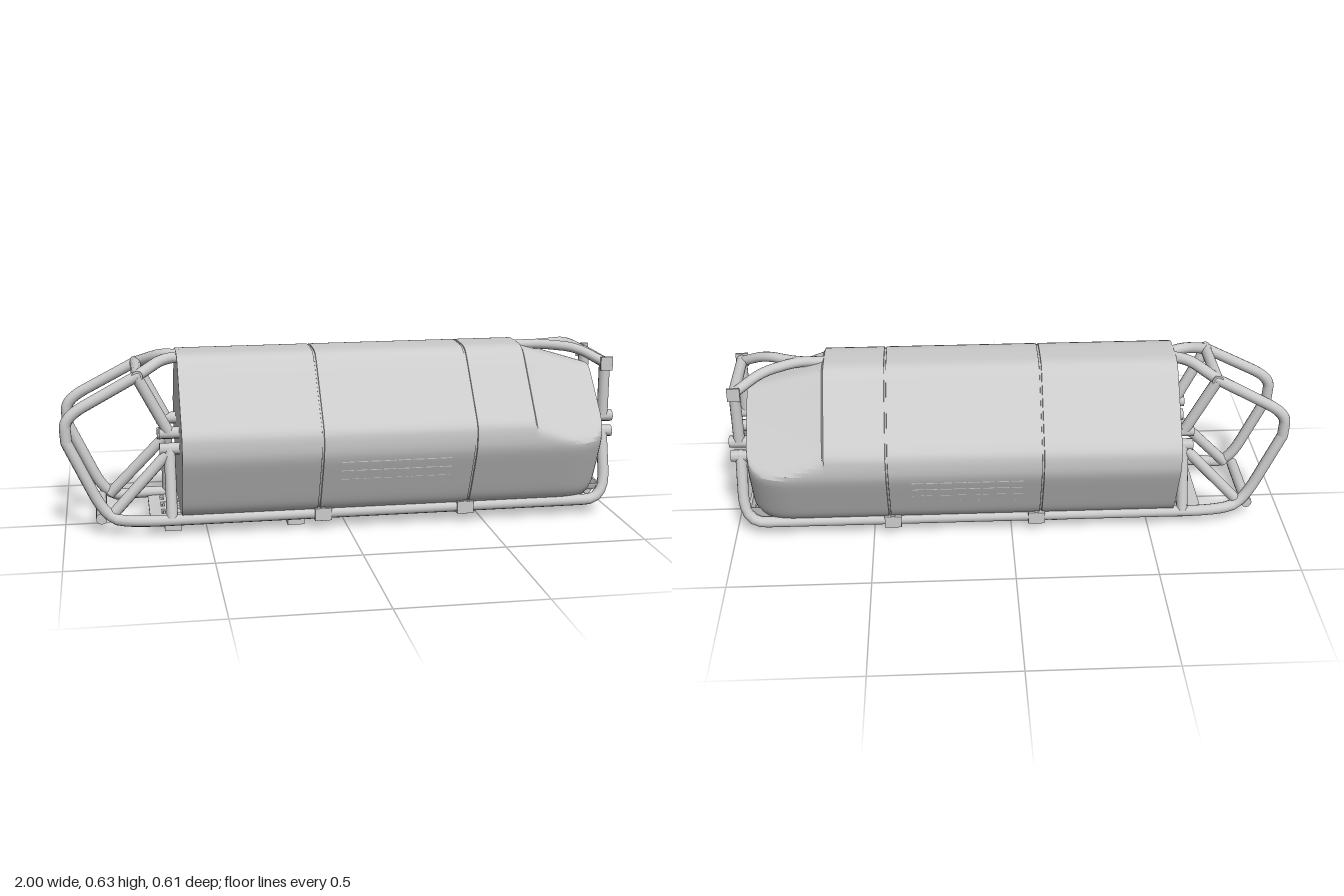
import * as THREE from 'three';
import { toCreasedNormals } from 'three/addons/utils/BufferGeometryUtils.js';

const mat = new THREE.MeshStandardMaterial({ color: 0xcccccc });
const V = (p) => new THREE.Vector3(...p);
const R = 0.02;

export function createModel() {
  const model = new THREE.Group();

  const add = (name, geo, pos) => {
    const m = new THREE.Mesh(geo, mat);
    m.name = name;
    if (pos) m.position.set(...pos);
    model.add(m);
    return m;
  };
  const box = (name, size, pos) => add(name, new THREE.BoxGeometry(...size), pos);
  // Straight round bar between two points
  const bar = (name, a, b, r = R, sides = 12) => {
    const d = V(b).sub(V(a));
    const m = add(name, new THREE.CylinderGeometry(r, r, d.length(), sides));
    m.position.copy(V(a)).addScaledVector(d, 0.5);
    m.quaternion.setFromUnitVectors(new THREE.Vector3(0, 1, 0), d.normalize());
    return m;
  };
  // Bent pipe through points, corners rounded by short curves
  const pipe = (name, pts, round = 0.06, r = R) => {
    const p = pts.map(V), path = new THREE.CurvePath();
    let last = p[0];
    for (let i = 1; i < p.length - 1; i++) {
      const cut = (q) => {
        const d = q.clone().sub(p[i]);
        return p[i].clone().addScaledVector(d.normalize(), Math.min(round, q.distanceTo(p[i]) * 0.45));
      };
      const a = cut(p[i - 1]), b = cut(p[i + 1]);
      path.add(new THREE.LineCurve3(last, a));
      path.add(new THREE.QuadraticBezierCurve3(a, p[i], b));
      last = b;
    }
    path.add(new THREE.LineCurve3(last, p[p.length - 1]));
    add(name, new THREE.TubeGeometry(path, p.length * 14, r, 12));
    for (const e of [p[0], p[p.length - 1]])
      add(name + 'End', new THREE.SphereGeometry(r, 12, 8), e.toArray());
  };

  add('hull', hullGeometry());
  add('skidPlate', plateGeometry());

  // Louvre slats follow the lower flanks
  const slats = [[0.27, 0.291], [0.235, 0.275], [0.2, 0.258], [0.165, 0.241]];
  for (const s of [1, -1])
    for (const [y, z] of slats)
      for (let k = 0; k < 8; k++)
        box('louvre', [0.042, 0.004, 0.008], [-0.015 + k * 0.05, y, s * (z - 0.002)]);

  // Everything on the frame that is mirrored left to right
  for (const s of [1, -1]) {
    pipe('sideRail', [
      [-0.98, 0.34, s * 0.14], [-0.85, 0.058, s * 0.145], [-0.74, 0.055, s * 0.182],
      [0.80, 0.055, s * 0.18], [0.965, 0.055, s * 0.18], [0.965, 0.3, s * 0.115],
    ], 0.11);
    pipe('rearLoop', [
      [-0.98, 0.34, s * 0.14], [-0.985, 0.43, s * 0.14], [-0.73, 0.565, s * 0.125],
    ], 0.08);
    pipe('rearTopTube', [
      [-0.73, 0.565, s * 0.125], [-0.64, 0.607, s * 0.05], [-0.57, 0.607, s * 0.015],
    ], 0.04);
    pipe('frontTopTube', [
      [0.965, 0.555, s * 0.125], [0.87, 0.605, s * 0.065], [0.75, 0.61, 0], [0.66, 0.61, 0],
    ], 0.05, 0.018);

    // Uprights and braces
    bar('frontUpright', [0.965, 0.355, s * 0.115], [0.965, 0.55, s * 0.115]);
    bar('rearUpright', [-0.625, 0.06, s * 0.182], [-0.625, 0.3, s * 0.115]);
    bar('rearUpperBrace', [-0.625, 0.355, s * 0.115], [-0.73, 0.56, s * 0.125]);
    bar('rearLowerBrace', [-0.84, 0.065, s * 0.145], [-0.635, 0.28, s * 0.12]);

    // Paired couplings at the split in the frame
    for (const x of [0.965, -0.625])
      for (const y of [0.297, 0.355])
        bar('coupling', [x - 0.035, y, s * 0.113], [x + 0.035, y, s * 0.113], 0.022, 8);
    box('crossbarFlange', [0.045, 0.05, 0.008], [0.965, 0.555, s * 0.138]);
    for (const x of [-0.09, 0.43]) {
      box('railClamp', [0.06, 0.045, 0.05], [x, 0.055, s * 0.18]);
      bar('railBolt', [x, 0.03, s * 0.195], [x, 0.08, s * 0.195], 0.01, 8);
    }
  }

  // Crossbars tying both sides together
  bar('frontCrossbar', [0.965, 0.555, -0.14], [0.965, 0.555, 0.14]);
  bar('rearUpperCrossbar', [-0.73, 0.565, -0.14], [-0.73, 0.565, 0.14]);
  bar('rearLowerCrossbar', [-0.87, 0.06, -0.145], [-0.87, 0.06, 0.145]);
  box('topBracket', [0.05, 0.03, 0.03], [0.7, 0.6, 0]);

  // Feet
  for (const x of [-0.62, -0.18]) box('foot', [0.06, 0.04, 0.27], [x, 0.02, 0]);
  return model;
}

// Rounded six-sided section lofted along x, with a cut-down, rounded nose
function hullGeometry() {
  const N = 120, cy = 0.33, noseX = 0.93;
  const xs = [-0.59, 0.655, 0.662];
  for (const s of [-0.105, 0.44]) xs.push(s - 0.004, s - 0.003, s + 0.003, s + 0.004);
  for (let k = 0; k <= 14; k++) xs.push(noseX - 0.25 * (1 - Math.sin((k / 14) * Math.PI / 2)));
  xs.sort((a, b) => a - b);

  const pos = [], idx = [];
  for (const x of xs) {
    const t = THREE.MathUtils.clamp((x - 0.658) / (noseX - 0.658), 0, 1);
    const step = t > 0 ? 0.012 : 0;
    const fall = (len) => 1 - Math.sqrt(Math.max(0, 1 - Math.max(0, (x - noseX + len) / len) ** 2));
    const side = 0.1 * fall(0.15), low = 0.07 * fall(0.09);
    const groove = Math.abs(x + 0.105) < 0.0035 || Math.abs(x - 0.44) < 0.0035 ? 0.985 : 1;
    // Bounding planes of the section: normal z, normal y, distance
    const planes = [
      [0, 1, 0.297 - step - 0.08 * t],
      [0.4, 0.917, 0.304 - step - 0.09 * t],
      [0.756 - 0.04 * t, 0.654 + 0.046 * t, 0.265 - step - 0.078 * t],
      [1, 0, 0.307 - side],
      [0.905, -0.426, 0.291 - side * 0.9],
      [0.6, -0.8, 0.32 - side * 0.5 - low * 0.5],
      [0, -1, 0.28 - low],
    ];
    for (let j = 0; j < N; j++) {
      const a = (j / N) * Math.PI * 2, c = Math.cos(a), s = Math.sin(a);
      let sum = 0;
      for (const [nz, ny, d] of planes) sum += Math.max(0, (nz * Math.abs(c) + ny * s) / d) ** 50;
      const r = groove * sum ** (-1 / 50);
      pos.push(x, cy + r * s, r * c);
    }
  }
  for (let i = 0; i < xs.length - 1; i++)
    for (let j = 0; j < N; j++) {
      const a = i * N + j, c = i * N + (j + 1) % N;
      idx.push(a, a + N, c, a + N, c + N, c);
    }
  // End caps
  const last = (xs.length - 1) * N, mid = xs.length * N;
  pos.push(xs[0], cy, 0, noseX, cy, 0);
  for (let j = 0; j < N; j++) {
    const k = (j + 1) % N;
    idx.push(mid, j, k, mid + 1, last + k, last + j);
  }
  const g = new THREE.BufferGeometry();
  g.setAttribute('position', new THREE.Float32BufferAttribute(pos, 3));
  g.setIndex(idx);
  return toCreasedNormals(g, 0.45);
}

// Slotted plate under the hull, its front end rolled upwards
function plateGeometry() {
  const shape = new THREE.Shape();
  const x0 = -0.7, x1 = 0.985, w = 0.172, bend = 0.85, rad = 0.1;
  shape.moveTo(x0, -w);
  for (let x = bend; x < x1; x += 0.0225) shape.lineTo(x, -w);
  shape.lineTo(x1, -w);
  shape.lineTo(x1, w);
  for (let x = x1 - 0.0225; x > bend; x -= 0.0225) shape.lineTo(x, w);
  shape.lineTo(x0, w);
  for (let x = x0 + 0.05; x < x1 - 0.02; x += 0.04) {
    if (Math.abs(x + 0.105) < 0.03 || Math.abs(x - 0.44) < 0.03) continue;
    for (const z of [-0.13, -0.045, 0.045, 0.13]) {
      const h = new THREE.Path();
      h.moveTo(x - 0.006, z - 0.027);
      h.lineTo(x - 0.006, z + 0.027);
      h.lineTo(x + 0.006, z + 0.027);
      h.lineTo(x + 0.006, z - 0.027);
      shape.holes.push(h);
    }
  }
  const g = new THREE.ExtrudeGeometry(shape, { depth: 0.01, bevelEnabled: false });
  g.rotateX(-Math.PI / 2).translate(0, 0.036, 0);
  const p = g.attributes.position;
  for (let i = 0; i < p.count; i++) {
    const a = (p.getX(i) - bend) / rad;
    if (a <= 0) continue;
    const r = rad - (p.getY(i) - 0.036);
    p.setXY(i, bend + r * Math.sin(a), 0.036 + rad - r * Math.cos(a));
  }
  return toCreasedNormals(g, 0.6);
}
